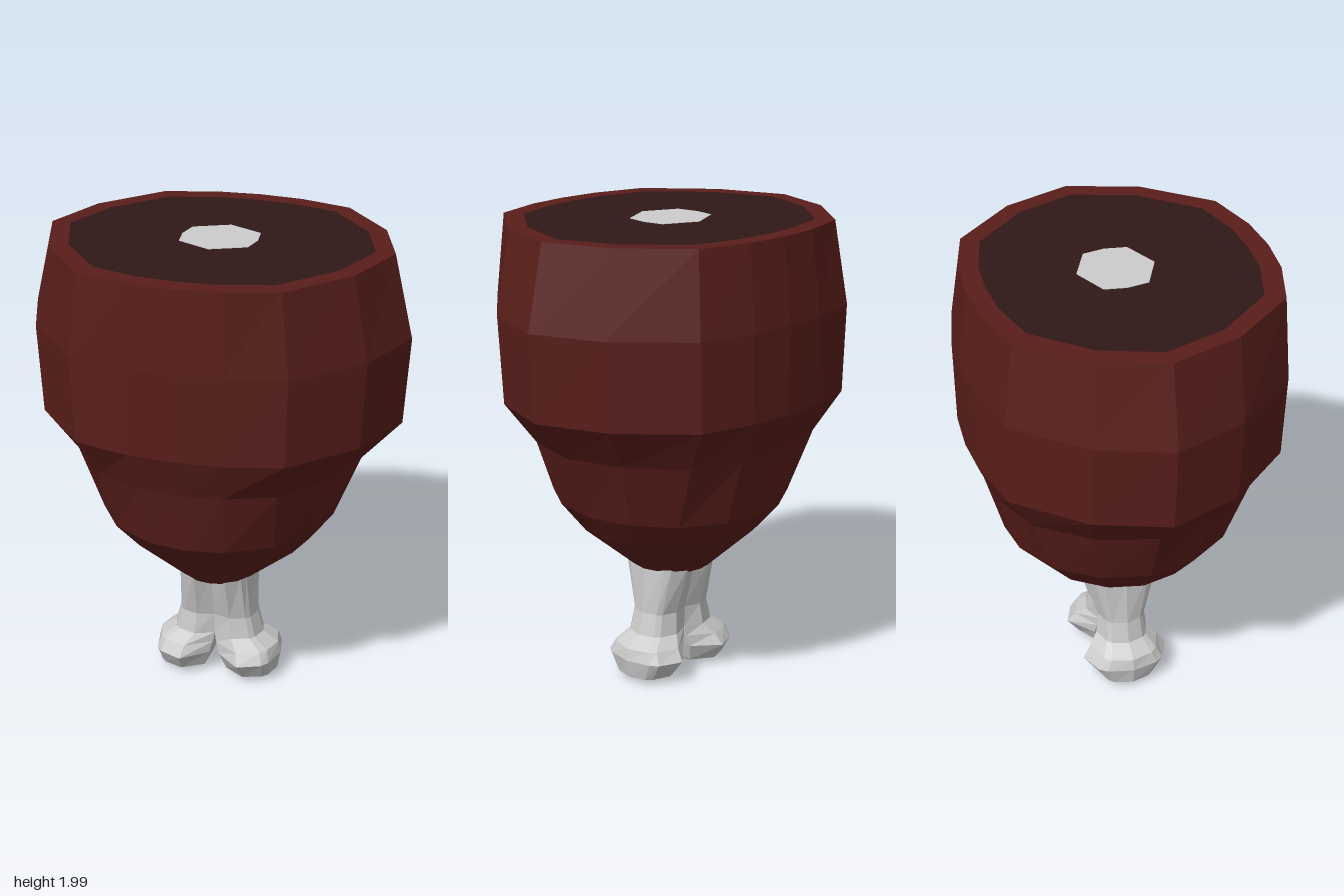
import * as THREE from 'three';

// Skin a bottom-to-top stack of closed rings (each turning from +x towards +z)
function loft(rings, { bottom = false, top = false } = {}) {
  const pos = [];
  const tri = (a, b, c) => pos.push(...a, ...b, ...c);
  const n = rings[0].length;
  const centre = (r) => [0, 1, 2].map((k) => r.reduce((s, p) => s + p[k], 0) / n);
  for (let j = 0; j + 1 < rings.length; j++) {
    const lo = rings[j], hi = rings[j + 1];
    for (let i = 0; i < n; i++) {
      const k = (i + 1) % n;
      tri(lo[i], hi[i], lo[k]);
      tri(lo[k], hi[i], hi[k]);
    }
  }
  const first = rings[0], last = rings[rings.length - 1];
  for (let i = 0; i < n; i++) {
    const k = (i + 1) % n;
    if (bottom) tri(centre(first), first[i], first[k]);
    if (top) tri(centre(last), last[k], last[i]);
  }
  const g = new THREE.BufferGeometry();
  g.setAttribute('position', new THREE.Float32BufferAttribute(pos, 3));
  g.computeVertexNormals();
  return g;
}

// Quarter outlines: the broad upper meat and the rounder tapered end
const BROAD = [[1, 0], [0.86, 0.47], [0.555, 0.89], [0.25, 0.98], [0, 1]];
const ROUND = [[1, 0], [0.91, 0.4], [0.68, 0.74], [0.32, 0.95], [0, 1]];

// Meat ring: half width, front and back depth, blend from broad to round
function meatRing(y, w, front, back, round) {
  const q = BROAD.map(([x, z], i) => [
    THREE.MathUtils.lerp(x, ROUND[i][0], round),
    THREE.MathUtils.lerp(z, ROUND[i][1], round),
  ]);
  const half = [...q, ...q.slice(0, -1).reverse().map(([x, z]) => [-x, z])];
  const f = half.map(([x, z]) => [x * w, y, z * front]);
  const b = half.slice(1, -1).reverse().map(([x, z]) => [x * w, y, -z * back]);
  return [...f, ...b];
}

// One lobe of the bone: inner and outer x, half depth, groove depth ratio
function boneRing(side, y, inner, outer, z, groove) {
  const w = outer - inner;
  const a = inner + w * 0.42, b = inner + w * 0.8;
  const ring = [
    [outer, 0], [b + w * 0.1, z * 0.6], [b, z * 0.78], [a, z], [inner, z * groove],
    [inner, -z * groove], [a, -z], [b, -z * 0.78], [b + w * 0.1, -z * 0.6],
  ].map(([x, d]) => [x * side, y, d]);
  return side > 0 ? ring : ring.reverse();
}

export function createModel() {
  const model = new THREE.Group();
  const add = (name, geometry, color) => {
    const material = new THREE.MeshStandardMaterial({ color, flatShading: true });
    const mesh = new THREE.Mesh(geometry, material);
    mesh.name = name;
    model.add(mesh);
    return mesh;
  };

  // Meat with its rind folded over the flat cut
  const cutRing = meatRing(2, 0.645, 0.56, 0.53, 0.1);
  add('meat', loft([
    meatRing(0.5, 0.165, 0.175, 0.175, 1),
    meatRing(0.69, 0.4, 0.37, 0.38, 1),
    meatRing(0.82, 0.5, 0.5, 0.495, 1),
    meatRing(1.1, 0.615, 0.57, 0.575, 0.5),
    meatRing(1.28, 0.78, 0.64, 0.645, 0),
    meatRing(1.65, 0.805, 0.65, 0.65, 0),
    meatRing(2, 0.725, 0.645, 0.61, 0.1),
    cutRing,
  ], { bottom: true }), 0x591e1a);

  // Dark cut face
  add('cutFace', loft([cutRing], { top: true }), 0x2f1717);

  // Bone end showing in the cut
  const marrow = [
    [0.16, 0], [0.145, 0.093], [0, 0.162], [-0.145, 0.093],
    [-0.16, 0], [-0.145, -0.093], [0, -0.162], [0.145, -0.093],
  ];
  add('cutBone', loft([1.99, 2.002].map((y) => marrow.map(([x, z]) => [x, y, z])),
    { top: true }), 0xcccccc);

  // Bone shaft splitting into two knuckles
  for (const side of [1, -1]) {
    add(side > 0 ? 'leftBoneHalf' : 'rightBoneHalf', loft([
      [0.008, 0.08, 0.18, 0.05, 0.6],
      [0.03, 0.05, 0.265, 0.13, 0.55],
      [0.11, 0.022, 0.28, 0.19, 0.5],
      [0.16, 0.008, 0.268, 0.155, 0.55],
      [0.205, 0, 0.2, 0.115, 0.7],
      [0.3, 0, 0.175, 0.105, 0.8],
      [0.53, 0, 0.165, 0.172, 0.85],
    ].map((r) => boneRing(side, ...r)), { bottom: true, top: true }), 0xcccccc);
  }
  return model;
}
